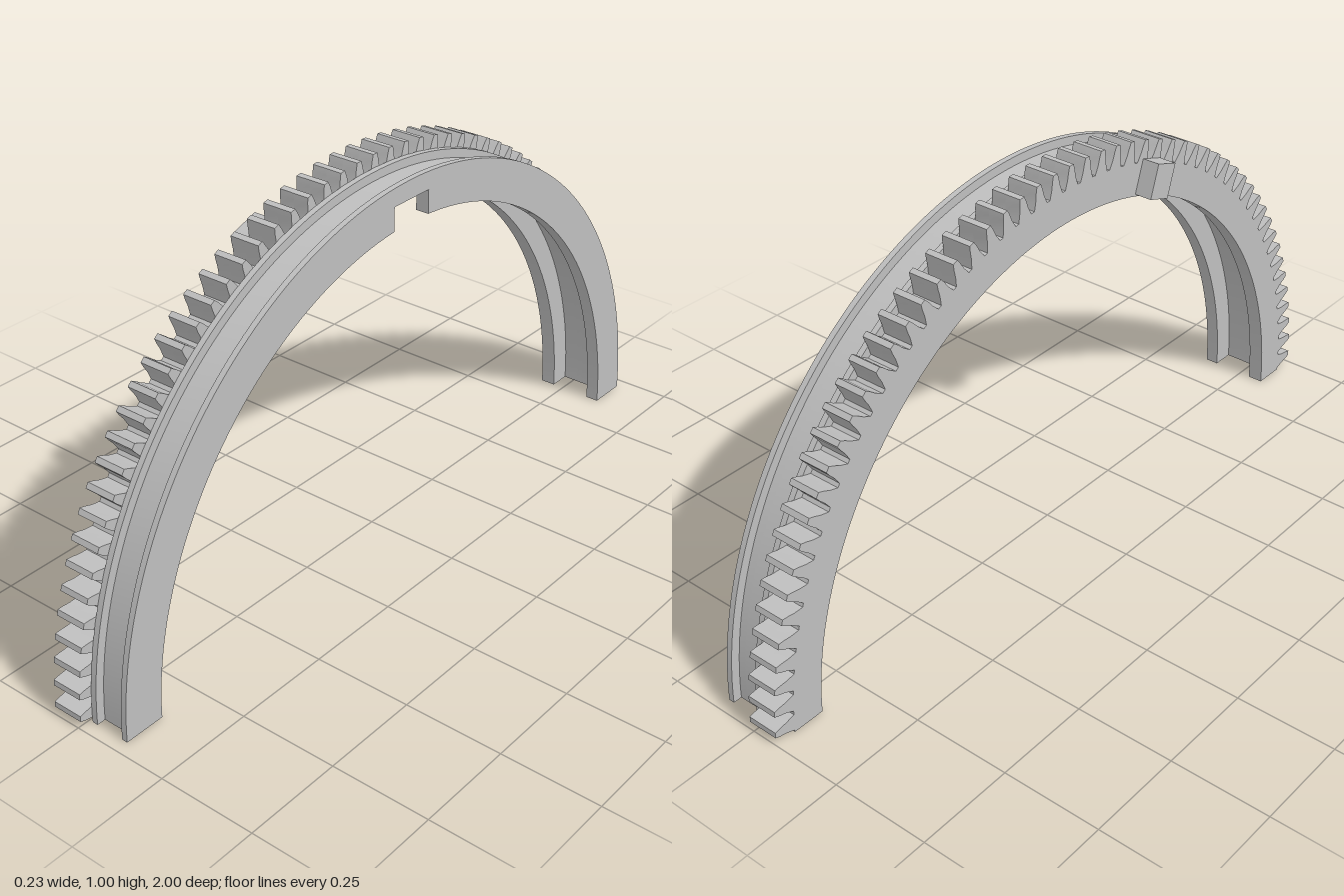
import * as THREE from 'three';
import { toCreasedNormals } from 'three/addons/utils/BufferGeometryUtils.js';

const R_IN = 0.862, R_WEB = 0.92, R_GROOVE = 0.945, R_RIM = 0.967, R_ROOT = 0.945;
const TEETH = 55, SEGMENTS = 110;

const polar = (r, a) => new THREE.Vector2(r * Math.cos(a), Math.max(0, r * Math.sin(a)));

// Points of a half circle, from angle 0 to PI
function halfArc(r) {
  return Array.from({ length: SEGMENTS + 1 }, (_, i) => polar(r, (i / SEGMENTS) * Math.PI));
}

// Toothed outer outline: each tooth is given as [radius, half width]
function toothedArc() {
  const flank = [[R_ROOT, 0.022], [0.967, 0.0145], [0.986, 0.011], [1, 0.007]];
  const pts = [polar(R_ROOT, 0)];
  for (let i = 0; i < TEETH; i++) {
    const mid = ((i + 0.5) / TEETH) * Math.PI;
    for (const [r, w] of flank) pts.push(polar(r, mid - w / r));
    for (const [r, w] of [...flank].reverse()) pts.push(polar(r, mid + w / r));
  }
  pts.push(polar(R_ROOT, Math.PI));
  return pts;
}

// Inner outline with a rectangular notch at the crown
function notchedArc() {
  const half = 0.062;
  const y = Math.sqrt(R_IN * R_IN - half * half);
  const arc = halfArc(R_IN);
  return [
    ...arc.filter((p) => p.x > half),
    new THREE.Vector2(half, y), new THREE.Vector2(half, R_WEB),
    new THREE.Vector2(-half, R_WEB), new THREE.Vector2(-half, y),
    ...arc.filter((p) => p.x < -half),
  ];
}

// Extrude a side outline across the width, from x0 to x1
function slab(points, x0, x1) {
  const geo = new THREE.ExtrudeGeometry(new THREE.Shape(points), { depth: x1 - x0, bevelEnabled: false });
  geo.rotateY(Math.PI / 2).translate(x0, 0, 0);
  return toCreasedNormals(geo, 0.15);
}

export function createModel() {
  const model = new THREE.Group();
  model.name = 'halfRingGear';
  const grey = new THREE.MeshStandardMaterial({ color: 0xbfbfbf });
  grey.name = 'grey';

  const add = (name, geometry) => {
    const mesh = new THREE.Mesh(geometry, grey);
    mesh.name = name;
    model.add(mesh);
    return mesh;
  };
  const band = (name, outer, inner, x0, x1) =>
    add(name, slab([...outer, ...[...inner].reverse()], x0, x1));

  const teeth = toothedArc();
  const web = halfArc(R_WEB);

  // Toothed half: deep side wall, then shallow web
  band('gearWall', teeth, halfArc(R_IN), -0.07, -0.03);
  band('gearWeb', teeth, web, -0.03, 0.01);

  // Grooved half: rim, groove floor, notched side wall and outer flange
  band('innerRim', halfArc(R_RIM), web, 0.01, 0.025);
  band('grooveFloor', halfArc(R_GROOVE), web, 0.025, 0.08);
  band('notchedWall', halfArc(R_GROOVE), notchedArc(), 0.08, 0.1);
  band('outerFlange', halfArc(R_RIM), notchedArc(), 0.1, 0.115);

  // Locating tab on the outside of the toothed wall
  const tab = add('locatingTab', new THREE.BoxGeometry(0.045, 0.087, 0.071));
  tab.position.set(-0.0925, 0.863, 0.288);
  tab.rotation.x = Math.atan2(0.288, 0.863);

  return model;
}
